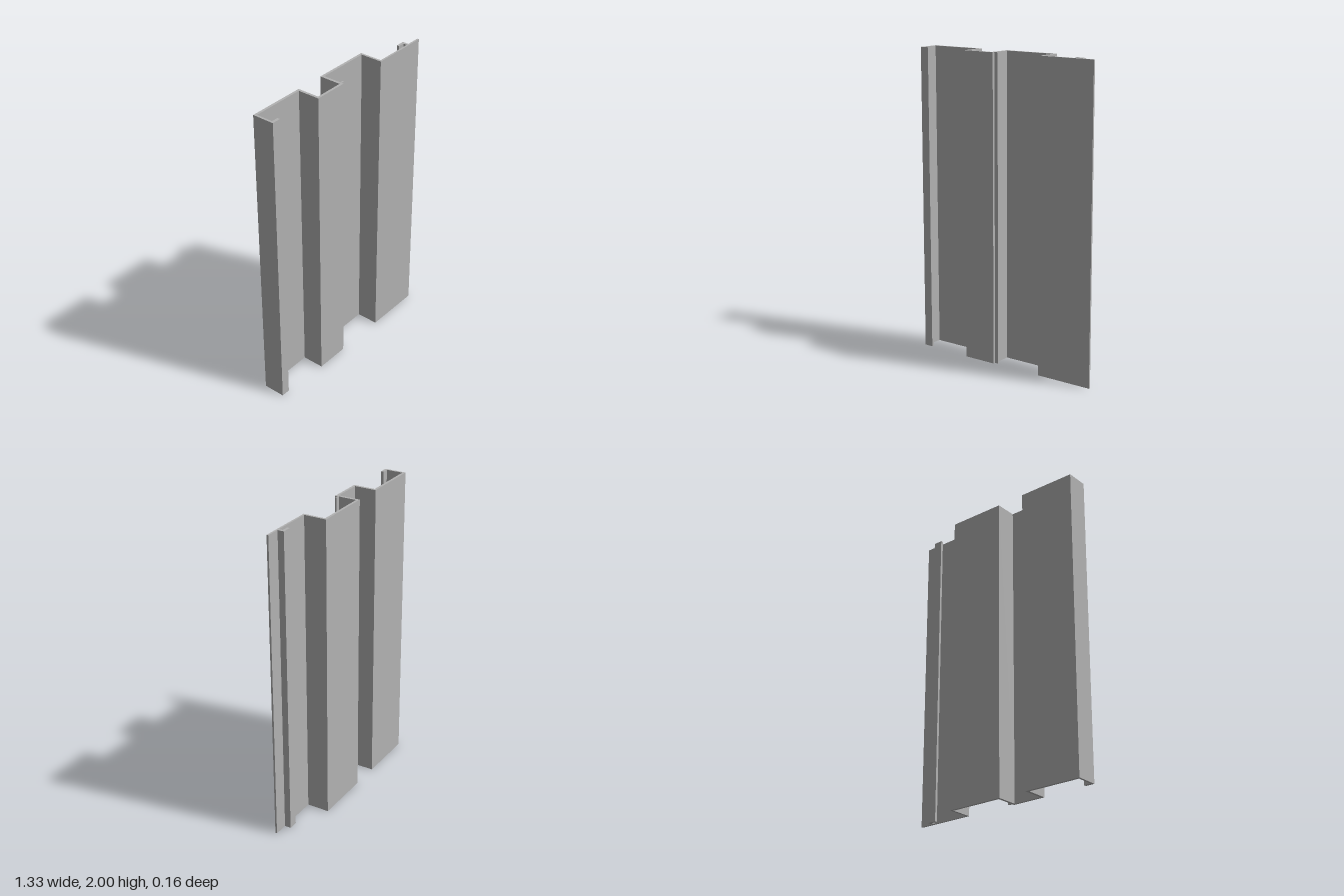
import * as THREE from 'three';

const HEIGHT = 2;

// Extrude a plan outline of [x, z] points straight up from y = 0
function extrudePlan(name, points, material) {
  const shape = new THREE.Shape(points.map(([x, z]) => new THREE.Vector2(x, -z)));
  const geometry = new THREE.ExtrudeGeometry(shape, { depth: HEIGHT, bevelEnabled: false });
  geometry.rotateX(-Math.PI / 2);
  const mesh = new THREE.Mesh(geometry, material);
  mesh.name = name;
  return mesh;
}

export function createModel() {
  const group = new THREE.Group();
  group.name = 'profiledSheetPanel';

  const steel = new THREE.MeshStandardMaterial({ color: 0xb2b2b2 });
  steel.name = 'greySteel';

  // Folded sheet: edge return, first rib, valley, second rib, flat flange
  group.add(extrudePlan('foldedSheet', [
    // back face, left to right
    [-0.665, 0.064], [-0.665, -0.08], [-0.281, -0.08], [-0.281, 0.064],
    [-0.088, 0.064], [-0.088, -0.08], [0.296, -0.08], [0.296, 0.068], [0.665, 0.068],
    // front face, right to left
    [0.665, 0.08], [0.281, 0.08], [0.281, -0.064], [-0.071, -0.064],
    [-0.071, 0.08], [-0.298, 0.08], [-0.298, -0.064], [-0.651, -0.064],
    // return lip along the left edge
    [-0.651, 0.046], [-0.606, 0.046], [-0.606, 0.064],
  ], steel));

  // Thin lip beside the valley
  group.add(extrudePlan('valleyLip', [
    [-0.071, 0.055], [-0.046, 0.055], [-0.046, 0.064], [-0.071, 0.064],
  ], steel));

  // Interlocking hook behind the flange
  group.add(extrudePlan('flangeHook', [
    [0.556, 0.068], [0.556, 0.043], [0.513, 0.043], [0.513, 0.026],
    [0.573, 0.026], [0.573, 0.068],
  ], steel));

  return group;
}
